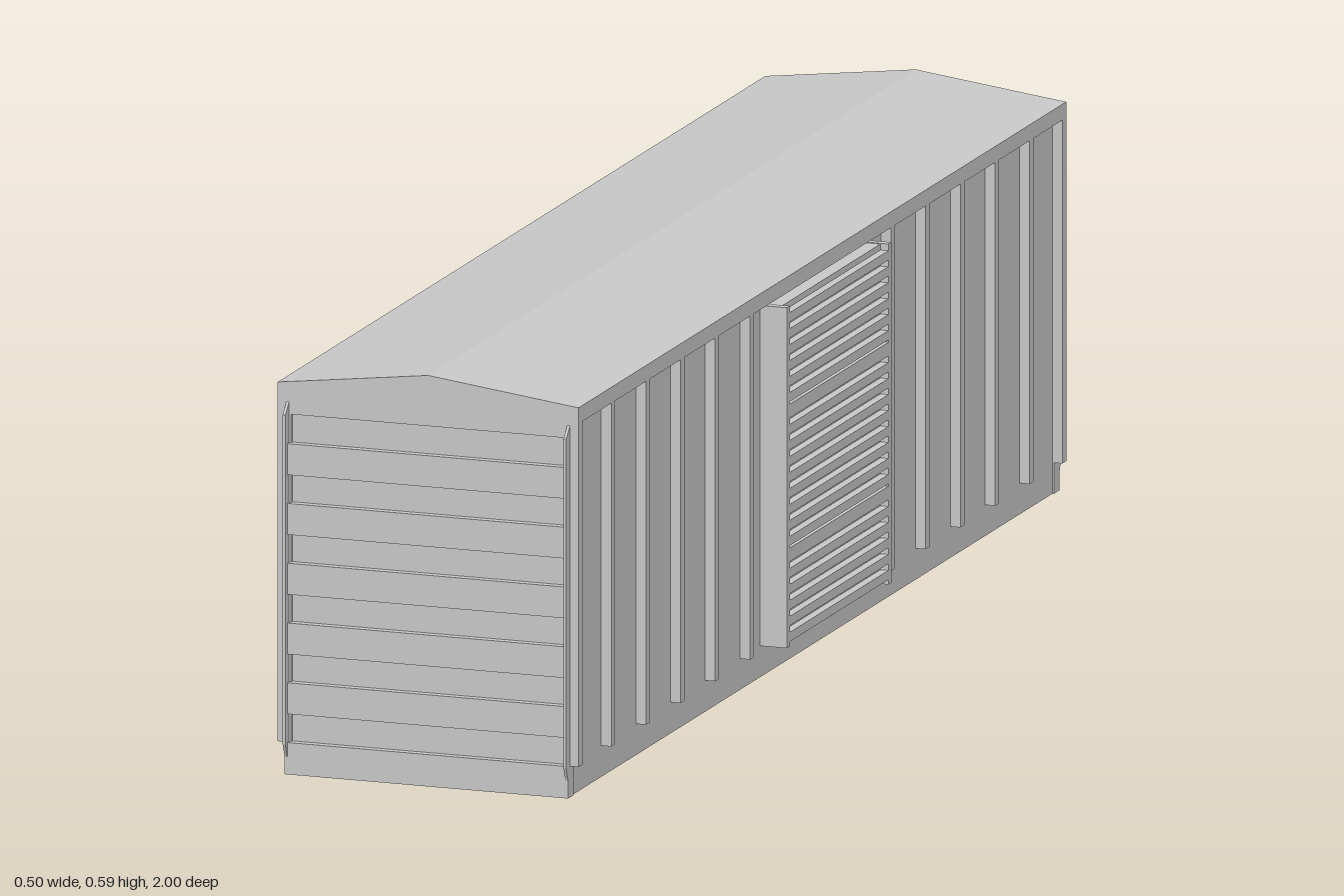
import * as THREE from 'three';

const material = new THREE.MeshStandardMaterial({ color: 0xcccccc, flatShading: true });

// Box given by its minimum and maximum corners
function block(parent, name, x0, x1, y0, y1, z0, z1) {
  const mesh = new THREE.Mesh(new THREE.BoxGeometry(x1 - x0, y1 - y0, z1 - z0), material);
  mesh.name = name;
  mesh.position.set((x0 + x1) / 2, (y0 + y1) / 2, (z0 + z1) / 2);
  parent.add(mesh);
  return mesh;
}

// Outline extruded between two depths along z
function prism(name, points, z0, z1) {
  const shape = new THREE.Shape(points.map(([x, y]) => new THREE.Vector2(x, y)));
  const geometry = new THREE.ExtrudeGeometry(shape, { depth: z1 - z0, bevelEnabled: false });
  geometry.translate(0, 0, z0);
  const mesh = new THREE.Mesh(geometry, material);
  mesh.name = name;
  return mesh;
}

// Ribbed side wall with its louvred door, built facing +x
function createSide() {
  const side = new THREE.Group();

  for (const end of [-1, 1]) {
    for (const z of [0.285, 0.425, 0.565, 0.705, 0.845, 0.977]) {
      block(side, 'sidePost', 0.205, 0.225, 0.045, 0.545, end * z - 0.008, end * z + 0.008);
    }
  }

  // Sliding door: recessed panel, full-depth frame and horizontal slats
  const door = new THREE.Group();
  door.name = 'door';
  block(door, 'doorPanel', 0.205, 0.238, 0.052, 0.535, -0.2, 0.2);
  for (const end of [-1, 1]) {
    block(door, 'doorFramePost', 0.205, 0.25, 0.045, 0.536, end * 0.205 - 0.006, end * 0.205 + 0.006);
  }
  const count = 21, pitch = 0.484 / count;
  for (let i = 0; i < count; i++) {
    const y = 0.052 + i * pitch;
    const wide = i === 5 || i === 14;
    block(door, 'doorSlat', 0.23, 0.25, y, y + pitch * (wide ? 0.85 : 0.58), -0.2, 0.2);
  }
  for (const z of [-0.12, 0, 0.12]) {
    block(door, 'doorGuide', 0.205, 0.24, 0.045, 0.054, z - 0.012, z + 0.012);
  }
  side.add(door);
  return side;
}

// End wall with horizontal ribs and tapered corner plates, built facing +z
function createEnd() {
  const end = new THREE.Group();
  const pitch = 0.0862;
  for (let i = 0; i < 6; i++) {
    block(end, 'endRib', -0.208, 0.208, i * pitch + (i ? 0.001 : 0), i * pitch + 0.046, 0.97, 0.992);
  }
  block(end, 'endTopPanel', -0.208, 0.208, 0.518, 0.56, 0.97, 0.985);

  // Corner plate outline in depth and height
  const outline = [[0.97, 0], [0.992, 0], [0.992, 0.025], [1, 0.045], [1, 0.52], [0.985, 0.536], [0.97, 0.536]];
  for (const x of [-0.21, 0.21]) {
    const plate = prism('cornerPlate', outline, -0.002, 0.002);
    plate.rotation.y = -Math.PI / 2;
    plate.position.x = x;
    end.add(plate);
  }
  return end;
}

export function createModel() {
  const model = new THREE.Group();
  model.name = 'boxcarBody';

  block(model, 'body', -0.21, 0.21, 0, 0.55, -0.98, 0.98);

  // Shallow gabled roof with overhanging eaves
  model.add(prism('roof', [
    [-0.225, 0.54], [0.225, 0.54], [0.225, 0.563], [0.208, 0.565],
    [0, 0.591], [-0.208, 0.565], [-0.225, 0.563],
  ], -0.985, 0.985));

  // Both sides and both ends by half-turn
  for (const [i, label] of ['left', 'right'].entries()) {
    const side = createSide();
    side.name = label + 'Side';
    side.rotation.y = i * Math.PI;
    model.add(side);
  }
  for (const [i, label] of ['front', 'back'].entries()) {
    const end = createEnd();
    end.name = label + 'End';
    end.rotation.y = i * Math.PI;
    model.add(end);
  }
  return model;
}
